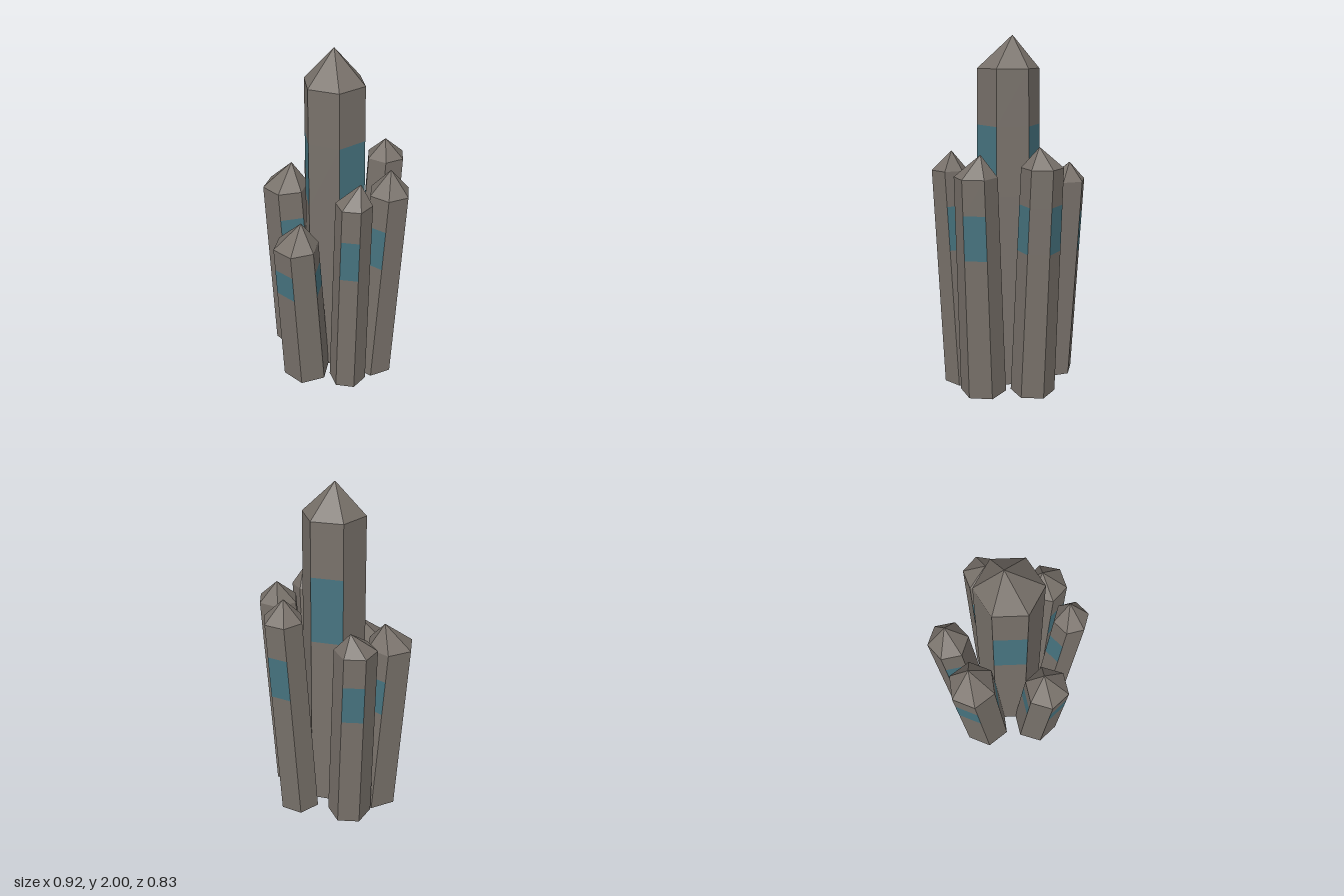
import * as THREE from 'three';

const rockMaterial = new THREE.MeshStandardMaterial({ color: 0x78716a, flatShading: true });
const panelMaterial = new THREE.MeshStandardMaterial({ color: 0x477480, flatShading: true });

// name, shoulder centre x/z, shoulder height, radius, turn in degrees, tip, panel span as share of height, base centre
const crystals = [
  { name: 'centralCrystal', c: [0, -0.02], h: 1.82, r: 0.175, turn: 0, tip: [-0.01, 2.0, -0.04], span: [0.617, 0.83], base: [0.003, -0.027] },
  { name: 'backLeftCrystal', c: [-0.189, -0.308], h: 1.18, r: 0.117, turn: -10, tip: [-0.165, 1.29, -0.335] },
  { name: 'backRightCrystal', c: [0.211, -0.298], h: 1.31, r: 0.114, turn: 11, tip: [0.212, 1.42, -0.281] },
  { name: 'rightCrystal', c: [0.345, 0.031], h: 1.26, r: 0.118, turn: -46, tip: [0.34, 1.38, 0.005] },
  { name: 'frontRightCrystal', c: [0.219, 0.248], h: 1.27, r: 0.1, turn: -72, tip: [0.245, 1.38, 0.22] },
  { name: 'frontCrystal', c: [-0.109, 0.282], h: 0.95, r: 0.131, turn: -41, tip: [-0.092, 1.08, 0.249], span: [0.68, 0.853] },
  { name: 'leftCrystal', c: [-0.335, -0.08], h: 1.11, r: 0.137, turn: -96, tip: [-0.308, 1.25, -0.11] },
];

function facetMesh(points, material, name) {
  const geometry = new THREE.BufferGeometry().setFromPoints(points);
  geometry.computeVertexNormals();
  const mesh = new THREE.Mesh(geometry, material);
  mesh.name = name;
  return mesh;
}

// Leaning, slightly tapered six-sided prism with a flat foot and a pointed tip
function createCrystal({ name, c, h, r, turn, tip, span = [0.648, 0.846], base = [c[0] * 0.8, c[1] * 0.8] }) {
  const rings = [0, ...span, 1].map((t) => {
    const radius = r * THREE.MathUtils.lerp(1.11, 1, t);
    const x = THREE.MathUtils.lerp(base[0], c[0], t);
    const z = THREE.MathUtils.lerp(base[1], c[1], t);
    return Array.from({ length: 6 }, (_, i) => {
      const a = THREE.MathUtils.degToRad(turn + i * 60);
      return new THREE.Vector3(x + radius * Math.cos(a), h * t, z + radius * Math.sin(a));
    });
  });
  const apex = new THREE.Vector3(...tip);
  const foot = new THREE.Vector3(base[0], 0, base[1]);
  const rock = [], panels = [];

  for (let i = 0; i < 6; i++) {
    const j = (i + 1) % 6;
    // Sides: the middle band is coloured on every second face
    for (let k = 0; k < 3; k++) {
      const [low, high] = [rings[k], rings[k + 1]];
      const target = k === 1 && i % 2 === 0 ? panels : rock;
      target.push(low[j], low[i], high[i], low[j], high[i], high[j]);
    }
    // Tip and foot
    rock.push(rings[3][j], rings[3][i], apex);
    rock.push(rings[0][i], rings[0][j], foot);
  }

  const group = new THREE.Group();
  group.name = name;
  group.add(facetMesh(rock, rockMaterial, 'crystalBody'), facetMesh(panels, panelMaterial, 'colouredPanels'));
  return group;
}

export function createModel() {
  const model = new THREE.Group();
  model.name = 'crystalCluster';
  crystals.forEach((crystal) => model.add(createCrystal(crystal)));
  return model;
}
